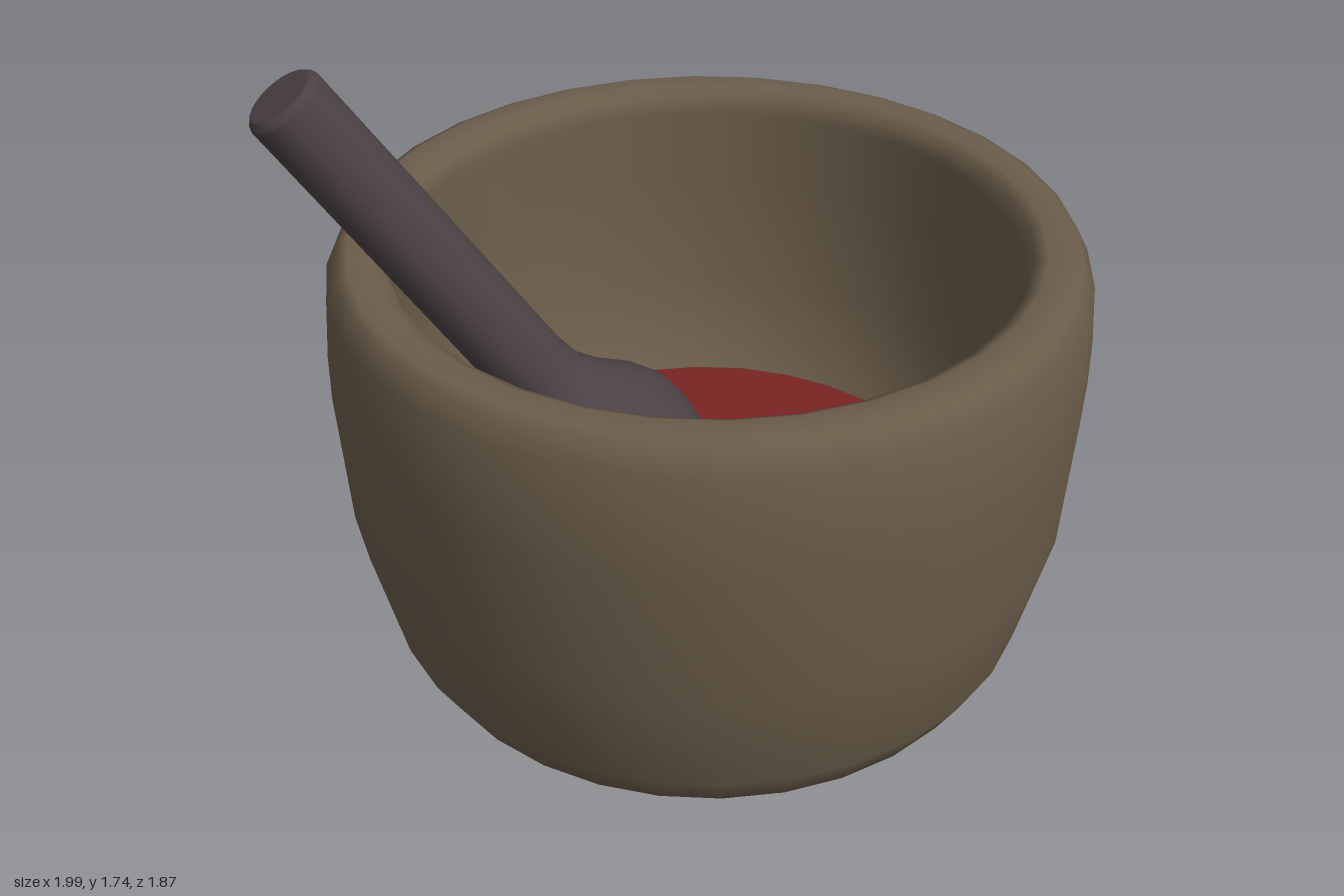
import * as THREE from 'three';

const stone = new THREE.MeshStandardMaterial({ color: 0x6b5d4a });
stone.name = 'brown stone';
const darkStone = new THREE.MeshStandardMaterial({ color: 0x4b4144 });
darkStone.name = 'dark stone';
const red = new THREE.MeshStandardMaterial({ color: 0x7a2222 });
red.name = 'red paste';

// Turned solid from [radius, height] pairs, listed from the bottom outwards
function turned(name, profile, sides, material) {
  const points = profile.map(([r, y]) => new THREE.Vector2(r, y));
  const mesh = new THREE.Mesh(new THREE.LatheGeometry(points, sides), material);
  mesh.name = name;
  return mesh;
}

export function createModel() {
  const group = new THREE.Group();
  group.name = 'mortarAndPestle';

  // Bowl: foot, outer wall, rounded rim, then the inner wall down to the floor
  const bowl = turned('bowl', [
    [0, 0], [0.47, 0.003], [0.68, 0.02], [0.77, 0.1], [0.83, 0.2],
    [0.91, 0.52], [0.935, 0.88], [0.935, 1], [0.925, 1.15], [0.895, 1.21],
    [0.87, 1.222], [0.81, 1.222], [0.778, 1.205], [0.768, 1.16],
    [0.765, 0.95], [0.74, 0.65], [0.665, 0.4], [0.5, 0.25], [0, 0.2],
  ], 32, stone);
  bowl.position.x = 0.06;
  group.add(bowl);

  // Flat surface of the contents
  const paste = new THREE.Mesh(new THREE.CircleGeometry(0.667, 32), red);
  paste.name = 'paste';
  paste.rotation.x = -Math.PI / 2;
  paste.position.set(0.06, 0.4, 0);
  group.add(paste);

  // Pestle: rounded head, flared neck, straight handle with a bevelled end
  const length = 1.63;
  const tilt = 0.591;
  const pestle = turned('pestle', [
    [0, 0], [0.11, 0.02], [0.195, 0.09], [0.232, 0.2], [0.24, 0.3],
    [0.235, 0.38], [0.2, 0.46], [0.145, 0.54], [0.11, 0.61], [0.1, 0.69],
    [0.098, length - 0.022], [0.096, length - 0.015],
    [0.084, length - 0.002], [0.08, length], [0, length],
  ], 24, darkStone);
  pestle.rotation.z = tilt;
  pestle.position.set(
    -0.92 + length * Math.sin(tilt),
    1.69 - length * Math.cos(tilt),
    0,
  );
  group.add(pestle);

  return group;
}
